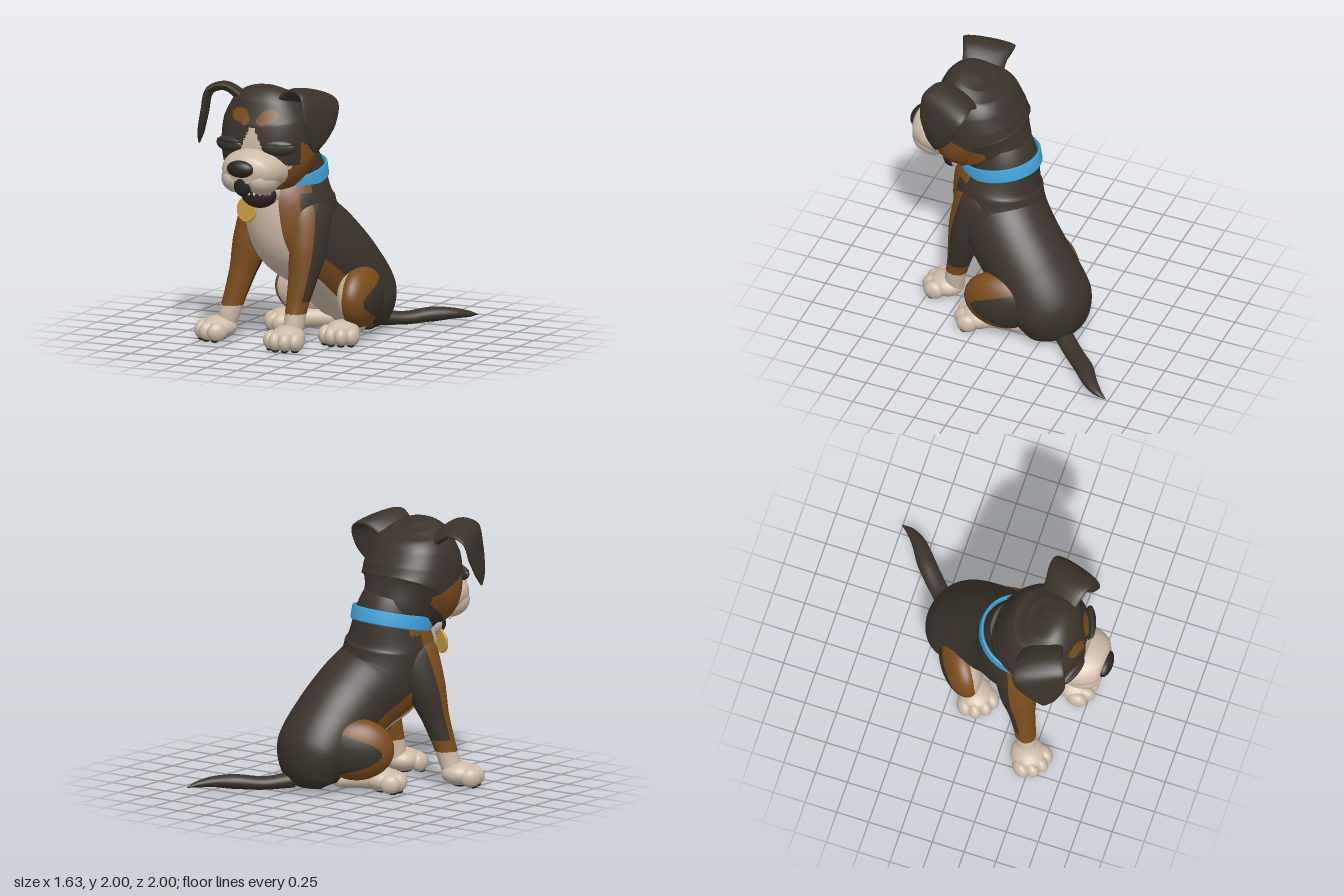
import * as THREE from 'three';

const mat = (name, color) => Object.assign(new THREE.MeshStandardMaterial({ color }), { name });
const V = (x, y, z) => new THREE.Vector3(x, y, z);

export function createModel() {
  const dog = new THREE.Group();
  dog.name = 'sittingDog';
  const darkCoat = mat('darkCoat', 0x3a332b), brownCoat = mat('brownCoat', 0x7a4c1c);
  const creamCoat = mat('creamCoat', 0xcdbba8), black = mat('blackSkin', 0x2a2422);
  const blue = mat('blueCollar', 0x42a5dc), gold = mat('goldTag', 0xcfa243), tooth = mat('tooth', 0xddd5c8);
  const coat = [darkCoat, brownCoat, creamCoat];
  const DARK = 0, BROWN = 1, CREAM = 2;

  const add = (name, geometry, material, parent = dog) => {
    const mesh = new THREE.Mesh(geometry, material);
    mesh.name = name;
    parent.add(mesh);
    return mesh;
  };
  const group = (name) => {
    const g = new THREE.Group();
    g.name = name;
    dog.add(g);
    return g;
  };

  // Sorts triangles into coat-colour groups by a rule on their centre
  const paint = (geo, rule) => {
    const idx = geo.index.array, pos = geo.attributes.position, uv = geo.attributes.uv;
    const sets = [[], [], []], p = V(), q = V();
    for (let i = 0; i < idx.length; i += 3) {
      p.set(0, 0, 0);
      let u = 0, v = 0;
      for (let k = 0; k < 3; k++) {
        p.add(q.fromBufferAttribute(pos, idx[i + k]));
        u += uv.getX(idx[i + k]) / 3;
        v += uv.getY(idx[i + k]) / 3;
      }
      sets[rule(p.divideScalar(3), u, v)].push(idx[i], idx[i + 1], idx[i + 2]);
    }
    geo.setIndex(sets.flat());
    let start = 0;
    sets.forEach((s, m) => { geo.addGroup(start, s.length, m); start += s.length; });
    return geo;
  };

  // Smooth skin over stations [x, y, z, half width along side, half depth]; uv keeps the section direction
  const loft = (stations, side, rows = 32, cols = 28, power = 2) => {
    const path = new THREE.CatmullRomCurve3(stations.map((s) => V(s[0], s[1], s[2])));
    const size = new THREE.CatmullRomCurve3(stations.map((s) => V(s[3], s[4], 0)));
    const pos = [], uv = [], index = [];
    for (let i = -1; i <= rows + 1; i++) {
      const t = Math.min(1, Math.max(0, i / rows)), capped = i < 0 || i > rows ? 0 : 1;
      const c = path.getPoint(t), r = size.getPoint(t), T = path.getTangent(t);
      const n = V().crossVectors(side, T).normalize(), s = V().crossVectors(T, n);
      for (let j = 0; j < cols; j++) {
        const a = (j / cols) * Math.PI * 2, cs = Math.cos(a), sn = Math.sin(a);
        const bend = (w) => Math.sign(w) * Math.abs(w) ** (2 / power) * capped;
        const p = c.clone().addScaledVector(s, bend(cs) * Math.max(r.x, 0.001))
          .addScaledVector(n, bend(sn) * Math.max(r.y, 0.001));
        pos.push(p.x, p.y, p.z);
        uv.push(cs, sn);
      }
    }
    for (let i = 0; i < rows + 2; i++) for (let j = 0; j < cols; j++) {
      const a = i * cols + j, b = i * cols + ((j + 1) % cols);
      index.push(a, a + cols, b, b, a + cols, b + cols);
    }
    const geo = new THREE.BufferGeometry();
    geo.setAttribute('position', new THREE.Float32BufferAttribute(pos, 3));
    geo.setAttribute('uv', new THREE.Float32BufferAttribute(uv, 2));
    geo.setIndex(index);
    geo.computeVertexNormals();
    return geo;
  };

  // Ellipsoid with baked placement
  const blob = (c, r, yaw = 0, seg = 20) => new THREE.SphereGeometry(1, seg, Math.round(seg * 0.7))
    .scale(...r).rotateY(yaw).translate(...c);

  // Body frame: lateral and forward directions of the turned torso
  const lateral = V(0.89, 0, 0.45), X = V(1, 0, 0);
  const place = (l, y, f) => [0.13 + 0.89 * l - 0.45 * f, y, -0.2 + 0.45 * l + 0.89 * f];

  // Torso from rump to neck
  const torso = loft([
    [0.15, 0.03, -0.35, 0.12, 0.08], [0.15, 0.1, -0.34, 0.25, 0.19], [0.14, 0.29, -0.28, 0.33, 0.295],
    [0.08, 0.5, -0.11, 0.33, 0.325], [0, 0.69, 0.07, 0.33, 0.34], [-0.11, 0.86, 0.23, 0.335, 0.36],
    [-0.15, 1.07, 0.265, 0.32, 0.35], [-0.17, 1.27, 0.245, 0.265, 0.285], [-0.19, 1.42, 0.28, 0.24, 0.25],
  ], lateral, 110, 110);
  add('torso', paint(torso, (p, u, v) => (v > 0.76 ? CREAM
    : v > (p.y > 1.17 ? 0.05 : 0.36) && p.z > -0.2 ? BROWN : DARK)), coat);

  // Head with blaze, cheeks and brow spots
  const hx = -0.215;
  const head = loft([
    [-0.18, 1.2, 0.27, 0.22, 0.25], [-0.2, 1.34, 0.33, 0.28, 0.3], [hx, 1.48, 0.42, 0.36, 0.37],
    [hx, 1.62, 0.455, 0.36, 0.35], [hx, 1.76, 0.475, 0.335, 0.31], [hx, 1.88, 0.485, 0.265, 0.235],
    [hx, 1.945, 0.475, 0.17, 0.15], [hx, 1.972, 0.465, 0.04, 0.04],
  ], X, 120, 120, 2.3);
  const headRule = (p) => {
    const dx = Math.abs(p.x - hx), { y, z } = p;
    const spot = (cx, cy, rx, ry) => ((dx - cx) / rx) ** 2 + ((y - cy) / ry) ** 2 < 1;
    if (z > 0.5 && (spot(0.12, 1.79, 0.07, 0.05) || spot(0.07, 1.76, 0.04, 0.045))) return BROWN;
    const blaze = y > 1.5 ? 0.02 + (1.7 - y) * 0.45 : y > 1.41 ? 0.11 + (1.5 - y) * 1.9 : 0.28 - (1.41 - y);
    if (z > 0.55 && y < 1.7 && dx < blaze) return CREAM;
    const cheekTop = z < 0.62 ? 1.46 + (z - 0.28) * 0.38 : 1.42;
    return z > 0.28 && dx > 0.15 && y < cheekTop && y > 1.4 - (z - 0.28) * 0.7 ? BROWN : DARK;
  };
  add('head', paint(head, headRule), coat);

  // Muzzle, nose and mouth
  const face = group('face');
  add('muzzle', loft([
    [hx, 1.36, 0.55, 0.25, 0.14], [hx, 1.38, 0.7, 0.25, 0.165], [hx, 1.385, 0.82, 0.23, 0.16],
    [hx, 1.38, 0.91, 0.18, 0.13], [hx, 1.375, 0.95, 0.1, 0.07],
  ], X, 30, 36), creamCoat, face);
  for (const m of [-1, 1]) {
    const side = m > 0 ? 'left' : 'right';
    add(side + 'Flew', blob([-0.225 + m * 0.1, 1.325, 0.775], [0.125, 0.122, 0.17], 0, 32), creamCoat, face);
    add(side + 'Eyelid', blob([hx + m * 0.205, 1.56, 0.75], [0.13, 0.06, 0.04], m * 0.35, 28), darkCoat, face);
    add(side + 'LashLine', blob([hx + m * 0.205, 1.585, 0.75], [0.125, 0.011, 0.043], m * 0.35, 28), black, face);
  }
  add('nose', blob([-0.235, 1.415, 0.945], [0.11, 0.065, 0.055], 0, 32), black, face);
  add('philtrum', blob([-0.235, 1.3, 0.905], [0.075, 0.1, 0.045], 0, 24), black, face);
  add('mouthInside', blob([-0.225, 1.22, 0.64], [0.13, 0.07, 0.1], 0, 24), black, face);
  add('lowerJaw', blob([-0.225, 1.175, 0.585], [0.145, 0.105, 0.11], 0, 28), creamCoat, face);
  add('lowerLip', blob([-0.225, 1.17, 0.645], [0.14, 0.1, 0.085], 0, 28), black, face);
  for (let i = 0; i < 9; i++) {
    const a = (i / 8 - 0.5) * 2.6;
    add('lowerTooth', blob([-0.225 + 0.115 * Math.sin(a), 1.19, 0.645 + 0.075 * Math.cos(a)],
      [0.012, 0.022, 0.012], 0, 8), tooth, face);
    add('upperTooth', blob([-0.225 + 0.13 * Math.sin(a), 1.21, 0.7 + 0.12 * Math.cos(a)],
      [0.012, 0.018, 0.012], 0, 8), tooth, face);
  }

  // Folded ears; the right one swings out a little more
  for (const m of [-1, 1]) {
    const out = m < 0 ? 0.06 : 0;
    const ear = [
      [0.16, 1.84, 0.5, 0.15, 0.05], [0.33, 1.95, 0.53, 0.18, 0.037], [0.45, 1.91, 0.56, 0.2, 0.03],
      [0.475, 1.75, 0.6, 0.17, 0.03], [0.46 + out * 0.6, 1.6, 0.62, 0.09, 0.025], [0.45 + out, 1.52, 0.62, 0.015, 0.006],
    ].map(([o, ...rest]) => [-0.22 + m * o, ...rest]);
    add(m > 0 ? 'leftEar' : 'rightEar', loft(ear, V(-0.35 * m, 0.2, 0.92), 40, 32), darkCoat);
  }

  // Paw with four toes and dark pads
  const paw = (name, x, z, yaw) => {
    const g = group(name), c = Math.cos(yaw), s = Math.sin(yaw);
    const at = (l, y, f) => [x + l * c + f * s, y, z - l * s + f * c];
    add('pawBody', blob(at(0, 0.1, 0), [0.13, 0.09, 0.14], yaw, 28), creamCoat, g);
    add('heelPad', blob(at(0, 0.022, 0), [0.065, 0.02, 0.06], yaw), black, g);
    for (const [l, f] of [[-0.105, 0.06], [-0.04, 0.1], [0.04, 0.1], [0.105, 0.06]]) {
      add('toe', blob(at(l, 0.082, f), [0.055, 0.074, 0.08], yaw, 20), creamCoat, g);
      add('toePad', blob(at(l, 0.018, f + 0.02), [0.028, 0.016, 0.032], yaw, 12), black, g);
    }
  };

  // Front legs, from wrist up into the shoulder
  const frontLegs = {
    left: [1, [
      [0.01, 0.1, 0.56, 0.07, 0.075], [0.02, 0.2, 0.545, 0.075, 0.08], [0.03, 0.32, 0.52, 0.08, 0.085],
      [0.055, 0.52, 0.475, 0.105, 0.11], [0.075, 0.75, 0.42, 0.125, 0.16], [0.06, 1, 0.35, 0.13, 0.19],
      [0, 1.14, 0.31, 0.07, 0.1]]],
    right: [-1, [
      [-0.6, 0.1, 0.44, 0.07, 0.075], [-0.57, 0.2, 0.43, 0.075, 0.08], [-0.54, 0.32, 0.41, 0.08, 0.085],
      [-0.49, 0.52, 0.37, 0.095, 0.105], [-0.435, 0.75, 0.32, 0.13, 0.155], [-0.36, 1, 0.27, 0.13, 0.19],
      [-0.3, 1.14, 0.26, 0.07, 0.1]]],
  };
  for (const [side, [m, stations]] of Object.entries(frontLegs)) {
    add(side + 'FrontLeg', paint(loft(stations, lateral, 80, 60), (p, u, v) => (p.y < 0.27 ? CREAM
      : p.y > 0.36 && v - 0.4 * m * u < -0.05 ? DARK : BROWN)), coat);
  }
  paw('leftFrontPaw', 0, 0.62, -0.05);
  paw('rightFrontPaw', -0.64, 0.47, -0.7);

  // Hind legs, mirrored across the turned body axis
  for (const m of [-1, 1]) {
    const side = m > 0 ? 'left' : 'right';
    const at = (l, y, f) => place(m * l, y, f);
    const yaw = m > 0 ? 0.053 : -0.99;
    const thigh = blob(at(0.29, 0.34, 0.13), [0.15, 0.235, 0.285], yaw, 96);
    add(side + 'Thigh', paint(thigh, (p) => {
      const l = m * (0.89 * (p.x - 0.13) + 0.45 * (p.z + 0.2)) - 0.29;
      const f = -0.45 * (p.x - 0.13) + 0.89 * (p.z + 0.2) - 0.13;
      const along = 0.5 * l + 0.87 * f, outward = 0.87 * l - 0.5 * f;
      if (outward < -0.04) return CREAM;
      return along < Math.max(-0.17, 0.2 - 0.33 * ((p.y - 0.32) / 0.16) ** 2) ? DARK : BROWN;
    }), coat);
    const c = at(0.33, 0.1, 0.335);
    add(side + 'HindFoot', loft([
      [...at(0.13, 0.09, 0.01), 0.03, 0.03], [...at(0.155, 0.095, 0.05), 0.065, 0.065],
      [...at(0.24, 0.105, 0.19), 0.08, 0.075], [...c, 0.1, 0.08],
    ], V(Math.cos(yaw), 0, -Math.sin(yaw)), 30, 28), creamCoat);
    paw(side + 'HindPaw', c[0], c[2], yaw);
  }

  // Tail lying on the ground
  add('tail', loft([
    [0.24, 0.09, -0.42, 0.07, 0.06], [0.4, 0.07, -0.58, 0.07, 0.05], [0.55, 0.085, -0.72, 0.07, 0.055],
    [0.69, 0.085, -0.83, 0.055, 0.04], [0.765, 0.07, -0.92, 0.033, 0.024], [0.8, 0.055, -1, 0.003, 0.003],
  ], V(0.7, 0, 0.7), 40, 24), darkCoat);

  // Collar band and round tag
  const band = [[0.94, -0.05], [0.99, -0.055], [1.01, -0.045], [1.01, 0.045], [0.99, 0.055], [0.94, 0.05], [0.94, -0.05]];
  const collar = add('collar', new THREE.LatheGeometry(band.map(([r, y]) => new THREE.Vector2(r, y)), 72), blue);
  collar.scale.set(0.29, 1, 0.315);
  collar.rotation.set(0.2, -0.3, 0, 'YXZ');
  collar.position.set(-0.17, 1.27, 0.255);
  const tag = group('tag');
  add('tagDisc', new THREE.CylinderGeometry(0.085, 0.085, 0.02, 40).rotateX(Math.PI / 2), gold, tag);
  add('tagRim', new THREE.TorusGeometry(0.085, 0.012, 10, 40), gold, tag);
  add('tagRing', new THREE.TorusGeometry(0.025, 0.007, 8, 20).translate(0, 0.11, 0), gold, tag);
  tag.position.set(-0.33, 1.045, 0.635);
  tag.rotation.set(-0.1, -0.3, 0);

  return dog;
}
